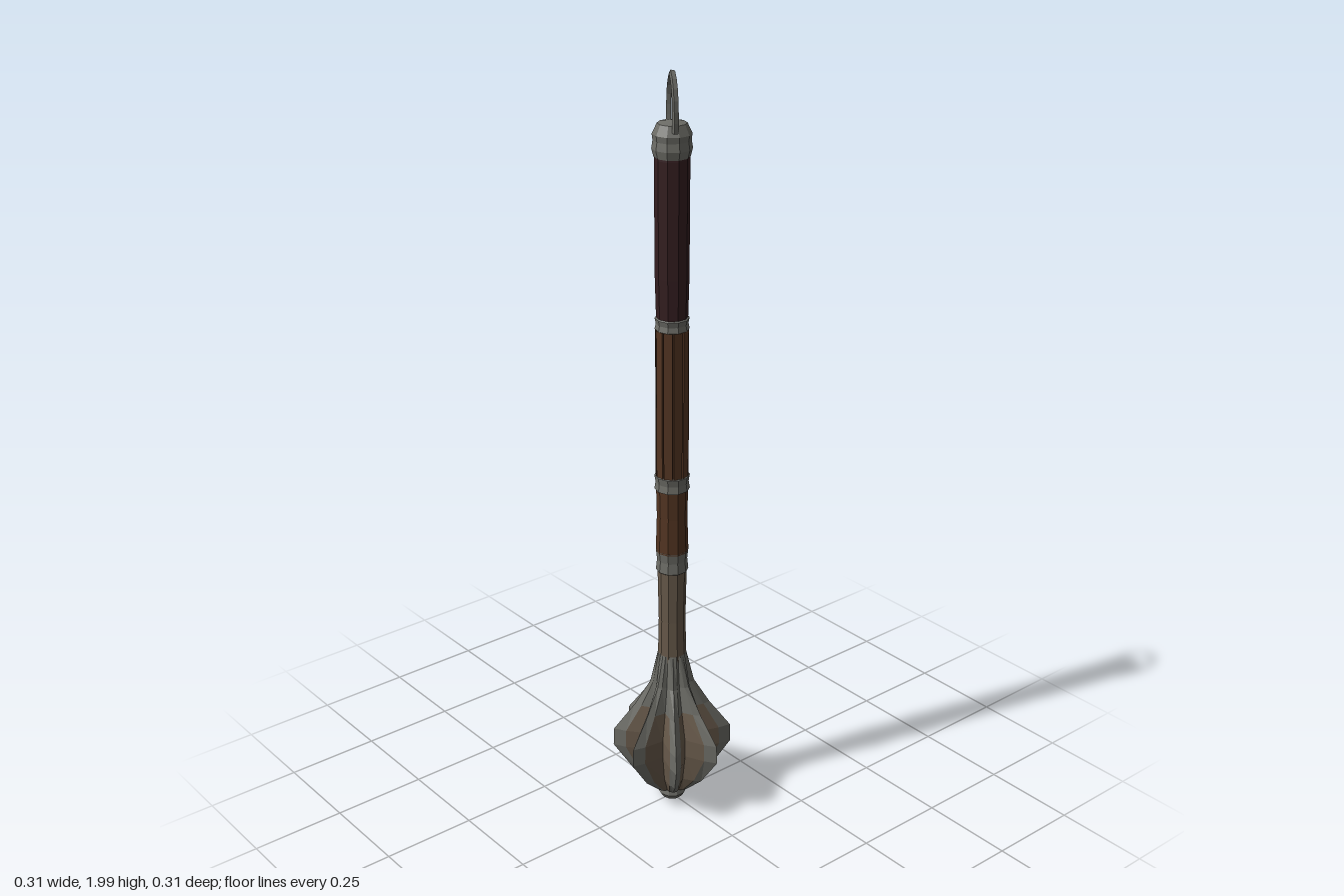
import * as THREE from 'three';

const mat = (name, color) => {
  const m = new THREE.MeshStandardMaterial({ color });
  m.name = name;
  return m;
};

export function createModel() {
  const steel = mat('worn steel', 0x6c6c66);
  const tan = mat('tarnished bronze', 0x67594a);
  const wood = mat('brown wood', 0x533522);
  const darkWood = mat('dark wood', 0x2e1e15);
  const leather = mat('dark red leather', 0x341e20);

  const group = new THREE.Group();
  group.name = 'flangedMace';

  // Adds a mesh with hard facets
  const add = (name, geo, material, parent = group) => {
    const flat = geo.index ? geo.toNonIndexed() : geo;
    flat.computeVertexNormals();
    const mesh = new THREE.Mesh(flat, material);
    mesh.name = name;
    parent.add(mesh);
    return mesh;
  };
  const turned = (name, profile, material, sides = 10) =>
    add(name, new THREE.LatheGeometry(profile.map(([r, y]) => new THREE.Vector2(r, y)), sides), material);

  // Shaft and grip, bottom to top
  turned('bottomCap', [[0, 0.008], [0.028, 0.01], [0.038, 0.025], [0.034, 0.04], [0.044, 0.055], [0, 0.06]], steel);
  turned('lowerShaft', [[0.038, 0.42], [0.035, 0.56], [0.038, 0.72]], tan);
  turned('woodSleeve', [[0.042, 0.76], [0.039, 0.86], [0.041, 0.95]], wood);
  turned('gripCore', [[0.037, 0.96], [0.037, 1.38]], darkWood);
  turned('leatherGrip', [[0.039, 1.385], [0.042, 1.5], [0.043, 1.79], [0.041, 1.81]], leather);
  turned('pommel', [[0, 1.795], [0.044, 1.795], [0.049, 1.815], [0.046, 1.835], [0.048, 1.85],
    [0.036, 1.875], [0, 1.882]], steel);

  // Steel collars between the sections
  for (const [y0, y1, r] of [[0.7, 0.77, 0.042], [0.93, 0.98, 0.045], [1.36, 1.4, 0.043]]) {
    turned('collar', [[0.034, y0], [r, y0 + 0.006], [r - 0.003, (y0 + y1) / 2], [r, y1 - 0.006], [0.034, y1]], steel);
  }

  // Narrow wooden strips around the middle grip
  const strips = new THREE.Group();
  strips.name = 'gripStrips';
  group.add(strips);
  for (let i = 0; i < 10; i++) {
    const a = (i / 10) * Math.PI * 2;
    const strip = add('gripStrip', new THREE.BoxGeometry(0.022, 0.39, 0.008), wood, strips);
    strip.position.set(Math.sin(a) * 0.037, 1.17, Math.cos(a) * 0.037);
    strip.rotation.y = a;
  }

  // Hanging loop, turned about the shaft
  const loop = new THREE.CatmullRomCurve3([[-0.046, 1.86], [-0.046, 1.91], [-0.034, 1.96], [0, 1.992],
    [0.034, 1.96], [0.046, 1.91], [0.046, 1.86]].map(([d, y]) => new THREE.Vector3(d * 0.87, y, d * 0.5)));
  add('hangingLoop', new THREE.TubeGeometry(loop, 12, 0.008, 4), steel);

  // Head: rings of [height, ridge radius, valley radius]
  const levels = [
    [0.045, 0.05, 0.04], [0.095, 0.104, 0.064], [0.175, 0.158, 0.078], [0.225, 0.156, 0.077],
    [0.3, 0.1, 0.058], [0.37, 0.058, 0.043], [0.46, 0.037, 0.035],
  ];
  const count = 8, step = (Math.PI * 2) / count, offset = -0.165;
  const point = (a, r, side, y) => [
    Math.cos(a) * r - Math.sin(a) * side, y, Math.sin(a) * r + Math.cos(a) * side];
  // Five points across a flange: valley, shoulder, ridge, shoulder, valley
  const section = (i, [y, R, v]) => {
    const a = i * step + offset;
    const valley = (s) => point(a + s * step / 2, v, 0, y);
    const shoulder = (s) => point(a, v + (R - v) * 0.6, s * (0.004 + v * 0.14), y);
    return [valley(-1), shoulder(-1), point(a, R, 0, y), shoulder(1), valley(1)];
  };
  const steelFaces = [], tanFaces = [];
  for (let i = 0; i < count; i++) {
    for (let k = 0; k < levels.length - 1; k++) {
      const low = section(i, levels[k]), high = section(i, levels[k + 1]);
      for (let j = 0; j < 4; j++) {
        const inner = j === 0 || j === 3;
        const target = inner && k < 4 ? tanFaces : steelFaces;
        target.push(...low[j], ...high[j], ...high[j + 1], ...low[j], ...high[j + 1], ...low[j + 1]);
      }
    }
    // Underside of the head
    const s = section(i, levels[0]);
    for (let j = 0; j < 4; j++) steelFaces.push(0, levels[0][0], 0, ...s[j], ...s[j + 1]);
  }
  const fromFaces = (faces) => new THREE.BufferGeometry()
    .setAttribute('position', new THREE.Float32BufferAttribute(faces, 3));
  add('flangeEdges', fromFaces(steelFaces), steel);
  add('flangeSides', fromFaces(tanFaces), tan);

  return group;
}
